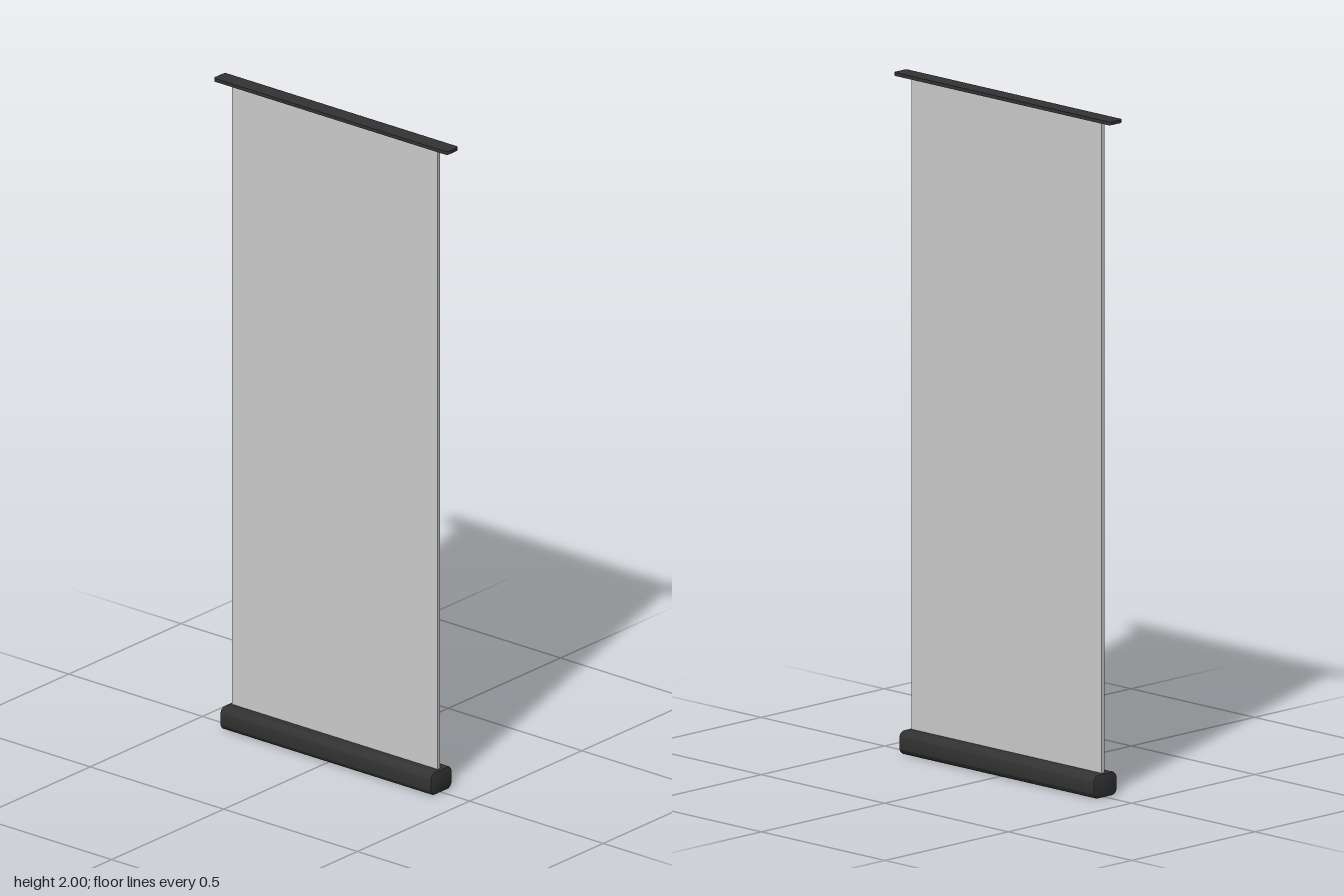
import * as THREE from 'three';
import { toCreasedNormals } from 'three/addons/utils/BufferGeometryUtils.js';

const dark = new THREE.MeshStandardMaterial({ color: 0x333333 });
const grey = new THREE.MeshStandardMaterial({ color: 0xcccccc });

// Rectangle with rounded corners, centred on the origin
function roundedRect(w, h, r) {
  const x = w / 2, y = h / 2;
  const s = new THREE.Shape();
  s.absarc(x - r, y - r, r, 0, Math.PI / 2);
  s.absarc(-x + r, y - r, r, Math.PI / 2, Math.PI);
  s.absarc(-x + r, -y + r, r, Math.PI, Math.PI * 1.5);
  s.absarc(x - r, -y + r, r, Math.PI * 1.5, Math.PI * 2);
  s.closePath();
  return s;
}

// Rounded slab extruded to an exact depth, with softened end edges
function slab(w, h, r, depth, bevel) {
  const geo = new THREE.ExtrudeGeometry(roundedRect(w, h, r), {
    depth: depth - 2 * bevel, curveSegments: 6, bevelEnabled: bevel > 0,
    bevelThickness: bevel, bevelSize: bevel, bevelOffset: -bevel, bevelSegments: 2,
  });
  geo.center();
  return toCreasedNormals(geo, 0.6);
}

export function createModel() {
  const group = new THREE.Group();
  const add = (name, geo, mat, y) => {
    const mesh = new THREE.Mesh(geo, mat);
    mesh.name = name;
    mesh.position.y = y;
    group.add(mesh);
  };

  // Base housing: rounded profile running along x
  add('baseHousing', slab(0.095, 0.07, 0.02, 0.79, 0.005).rotateY(Math.PI / 2), dark, 0.035);

  // Thin upright sheet between housing and top rail
  add('bannerSheet', new THREE.BoxGeometry(0.77, 1.93, 0.012), grey, 1.027);

  // Flat top rail with rounded corners in plan
  add('topRail', slab(0.876, 0.052, 0.009, 0.01, 0).rotateX(-Math.PI / 2), dark, 1.995);

  return group;
}
